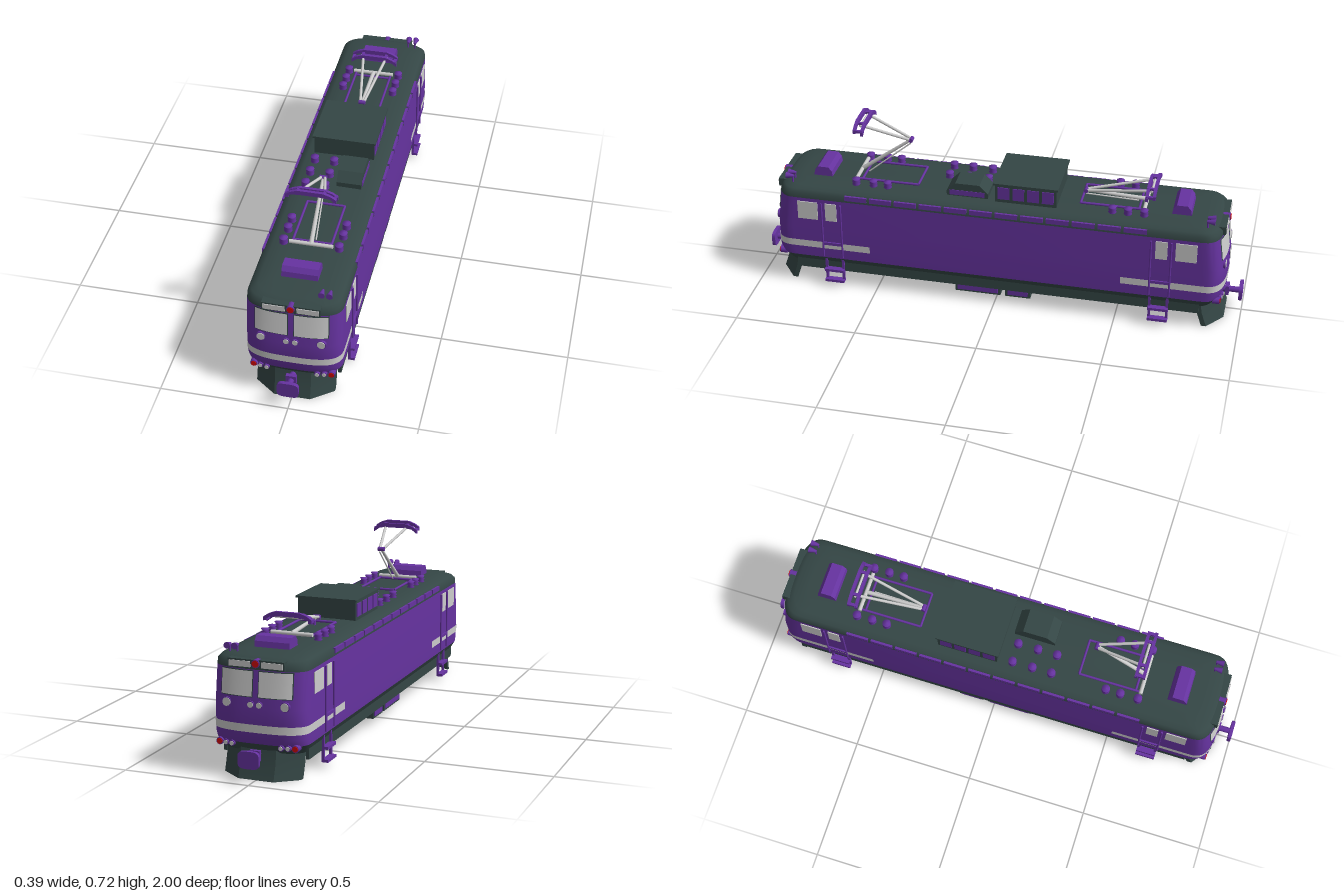
import * as THREE from 'three';
import { toCreasedNormals } from 'three/addons/utils/BufferGeometryUtils.js';

const mat = (name, color) => {
  const m = new THREE.MeshStandardMaterial({ color, side: THREE.DoubleSide });
  m.name = name;
  return m;
};

// Body levels: height, half width, half length
const LEVELS = [
  [0.1, 0.165, 0.9], [0.135, 0.183, 0.925], [0.16, 0.184, 0.935], [0.27, 0.185, 0.935],
  [0.41, 0.184, 0.917], [0.432, 0.182, 0.915], [0.445, 0.172, 0.902], [0.454, 0.15, 0.88], [0.459, 0.11, 0.83],
];
const NOSE = 0.09, POWER = 3;

function level(y) {
  let i = 0;
  while (i < LEVELS.length - 2 && y > LEVELS[i + 1][0]) i++;
  const a = LEVELS[i], b = LEVELS[i + 1], k = (y - a[0]) / (b[0] - a[0]);
  return { w: a[1] + (b[1] - a[1]) * k, l: a[2] + (b[2] - a[2]) * k };
}
function noseZ(x, y) {
  const { w, l } = level(y);
  return l - NOSE + NOSE * Math.pow(Math.max(0, 1 - Math.pow(Math.abs(x) / w, POWER)), 1 / POWER);
}
// Rounded end outline from the left side across the front to the right side
function endOutline(y, off = 0) {
  const { w, l } = level(y), pts = [];
  for (let i = 0; i <= 28; i++) {
    const t = Math.PI / 2 - (Math.PI * i) / 28, s = Math.sin(t), c = Math.max(0, Math.cos(t));
    pts.push(new THREE.Vector3(
      (w + off) * Math.sign(s) * Math.pow(Math.abs(s), 2 / POWER), y,
      l - NOSE + (NOSE + off) * Math.pow(c < 1e-9 ? 0 : c, 2 / POWER)));
  }
  return pts;
}
function fullOutline(y) {
  const half = endOutline(y);
  return [...half, ...half.map((p) => new THREE.Vector3(-p.x, y, -p.z))];
}
// Surface through rows of points, bottom to top
function loft(rows, closed, crease = 0.6) {
  const n = rows[0].length, idx = [];
  for (let i = 0; i < rows.length - 1; i++) {
    for (let j = 0; j < (closed ? n : n - 1); j++) {
      const a = i * n + j, b = i * n + ((j + 1) % n), c = a + n, d = b + n;
      idx.push(a, c, b, b, c, d);
    }
  }
  const g = new THREE.BufferGeometry().setFromPoints(rows.flat());
  g.setIndex(idx);
  return toCreasedNormals(g, crease);
}
// Thin panel following the curved end
function nosePatch(x0, x1, y0, y1, off) {
  const row = (y) => Array.from({ length: 9 }, (_, i) => {
    const x = x1 + ((x0 - x1) * i) / 8;
    return new THREE.Vector3(x, y, noseZ(x, y) + off);
  });
  return loft([row(y0), row(y1)], false);
}

export function createModel() {
  const purple = mat('purple paint', 0x6633a0), dark = mat('dark green grey', 0x344645);
  const pale = mat('pale grey', 0xcccccc), red = mat('red lamp', 0xd00808);
  const model = new THREE.Group();
  model.name = 'locomotive';

  const add = (parent, name, geo, m, x = 0, y = 0, z = 0) => {
    const mesh = new THREE.Mesh(geo, m);
    mesh.name = name;
    mesh.position.set(x, y, z);
    parent.add(mesh);
    return mesh;
  };
  // Box given by its limits
  const box = (parent, name, m, x0, x1, y0, y1, z0, z1) =>
    add(parent, name, new THREE.BoxGeometry(x1 - x0, y1 - y0, z1 - z0), m, (x0 + x1) / 2, (y0 + y1) / 2, (z0 + z1) / 2);
  const rod = (parent, name, m, a, b, r0, r1 = r0) => {
    const p = new THREE.Vector3(...a), q = new THREE.Vector3(...b), d = q.clone().sub(p);
    const mesh = add(parent, name, new THREE.CylinderGeometry(r1, r0, d.length(), 10), m);
    mesh.position.copy(p).add(q).multiplyScalar(0.5);
    mesh.quaternion.setFromUnitVectors(new THREE.Vector3(0, 1, 0), d.normalize());
    return mesh;
  };
  const lamp = (parent, name, m, x, y, r, z) => {
    rod(parent, name + 'Rim', purple, [x, y, z - 0.025], [x, y, z + 0.004], r + 0.003);
    rod(parent, name, m, [x, y, z - 0.02], [x, y, z + 0.007], r);
  };
  // Profile across x extruded along z
  const prism = (pts, depth) => {
    const g = new THREE.ExtrudeGeometry(new THREE.Shape(pts.map((p) => new THREE.Vector2(...p))), { depth, bevelEnabled: false });
    return g.translate(0, 0, -depth / 2);
  };

  // Body shell, chassis and roof
  const rings = (a, b) => LEVELS.slice(a, b).map((l) => fullOutline(l[0]));
  const centre = (y) => fullOutline(y).map(() => new THREE.Vector3(0, y, 0));
  add(model, 'chassis', loft([centre(0.1), ...rings(0, 2)], true), dark);
  add(model, 'body', loft(rings(1, 5), true), purple);
  add(model, 'roof', loft([...rings(4, 9), centre(0.461)], true, 0.9), dark);

  for (const s of [-1, 1]) {
    box(model, 'skirt', dark, s * 0.165 - 0.006, s * 0.165 + 0.006, 0.07, 0.13, -0.84, 0.84);
    // Row of vents along the roof edge
    for (let i = 0; i < 12; i++) {
      const z = -0.572 + i * 0.104;
      box(model, 'roofEdgeVent', purple, s * 0.18 - 0.006, s * 0.18 + 0.006, 0.419, 0.439, z - 0.046, z + 0.046);
    }
  }

  // Equipment boxes under the floor
  for (const [z0, z1] of [[-0.025, 0.165], [-0.15, -0.045]]) {
    box(model, 'equipmentBox', dark, -0.163, 0.163, 0.037, 0.115, z0, z1);
    for (const s of [-1, 1]) box(model, 'equipmentPanel', purple, s * 0.164 - 0.003, s * 0.164 + 0.003, 0.046, 0.106, z0 + 0.01, z1 - 0.01);
  }

  // Cab ends, the second turned about
  for (const turn of [0, Math.PI]) {
    const end = new THREE.Group();
    end.name = turn ? 'rearEnd' : 'frontEnd';
    end.rotation.y = turn;
    model.add(end);

    // Stripe wrapping the nose and running back along both sides
    const stripeRow = (y) => {
      const p = endOutline(y, 0.002), a = p[0].clone(), b = p[p.length - 1].clone();
      a.z = b.z = 0.52;
      return [a, ...p, b];
    };
    add(end, 'stripe', loft([stripeRow(0.18), stripeRow(0.21)], false), pale);

    // Destination panel and top lamp
    box(end, 'signBox', dark, -0.111, 0.111, 0.413, 0.447, 0.88, 0.921);
    for (const s of [-1, 1]) {
      box(end, 'signPanel', pale, s * 0.064 - 0.042, s * 0.064 + 0.042, 0.419, 0.441, 0.919, 0.924);
      const [x0, x1] = s > 0 ? [0.013, 0.139] : [-0.139, -0.013];
      add(end, 'windscreenFrame', nosePatch(x0 - 0.003, x1 + 0.003, 0.31, 0.408, 0.002), dark);
      add(end, 'windscreen', nosePatch(x0, x1, 0.313, 0.405, 0.004), pale);
      lamp(end, 'headlight', pale, s * 0.115, 0.284, 0.016, noseZ(0.115, 0.284));
      lamp(end, 'innerLight', pale, s * 0.017, 0.284, 0.011, noseZ(0.017, 0.284));
      lamp(end, 'tailLight', red, s * 0.15, 0.129, 0.011, 0.915);
      lamp(end, 'markerLight', pale, s * 0.123, 0.129, 0.008, 0.92);
      lamp(end, 'markerLight', pale, s * 0.097, 0.129, 0.008, 0.925);

      // Cab side windows, door rails and steps
      const side = (name, m, y0, y1, z0, z1, t = 0.003) => box(end, name, m, s * 0.185 - t, s * 0.185 + t, y0, y1, z0, z1);
      side('cabWindow', pale, 0.315, 0.395, 0.735, 0.82);
      side('doorWindow', pale, 0.315, 0.395, 0.655, 0.703);
      side('doorSill', purple, 0.2, 0.212, 0.64, 0.715, 0.006);
      for (const z of [0.637, 0.718]) rod(end, 'doorRail', purple, [s * 0.189, 0.145, z], [s * 0.189, 0.395, z], 0.004);
      for (const z of [0.641, 0.712]) box(end, 'stepSide', purple, s * 0.175 - 0.005, s * 0.175 + 0.005, 0.024, 0.135, z - 0.005, z + 0.005);
      for (const y of [0.03, 0.08]) box(end, 'step', purple, s * 0.183 - 0.013, s * 0.183 + 0.013, y - 0.006, y + 0.005, 0.636, 0.717);
    }
    lamp(end, 'topLight', red, 0, 0.434, 0.013, 0.923);

    // Plough, bent in plan and raked forwards
    const plan = [[0.153, 0.872], [0.07, 0.935], [-0.07, 0.935], [-0.153, 0.872]];
    const row = (y, dz) => [...plan.map(([x, z]) => new THREE.Vector3(x, y, z + dz)),
      ...plan.slice().reverse().map(([x, z]) => new THREE.Vector3(x, y, z + dz - 0.02))];
    const inner = (y, dz) => row(y, dz).map((p, i) => (i < 4 ? row(y, dz)[7 - i] : p));
    add(end, 'plough', loft([inner(0, 0), row(0, 0), row(0.06, -0.02), row(0.12, -0.03), inner(0.12, -0.03)], true, 0.2), dark);

    // Coupler
    rod(end, 'couplerStem', purple, [0, 0.094, 0.88], [0, 0.094, 0.99], 0.012);
    box(end, 'couplerCollar', purple, -0.02, 0.02, 0.075, 0.115, 0.93, 0.945);
    const face = new THREE.Shape();
    face.absellipse(0, 0, 0.032, 0.024, 0, Math.PI * 2);
    const pts = Array.from({ length: 32 }, (_, i) => {
      const t = (i / 32) * Math.PI * 2, f = (v) => Math.sign(v) * Math.pow(Math.abs(v), 0.5);
      return [0.042 * f(Math.cos(t)), 0.033 * f(Math.sin(t))];
    });
    add(end, 'couplerPlate', prism(pts, 0.014), purple, 0, 0.094, 0.993);

    // Roof hood above the cab
    add(end, 'roofHood', prism([[-0.04, 0], [0.04, 0], [0.036, 0.025], [0.022, 0.043], [-0.022, 0.043], [-0.036, 0.025]], 0.14)
      .rotateY(Math.PI / 2), purple, 0, 0.456, 0.74);
  }

  // Twin horns at both ends
  for (const s of [-1, 1]) {
    for (const x of [0.105, 0.135]) {
      rod(model, 'horn', purple, [x, 0.48, s * 0.845], [x, 0.48, s * 0.878], 0.005, 0.013);
      rod(model, 'hornPost', purple, [x, 0.445, s * 0.85], [x, 0.48, s * 0.85], 0.004);
    }
  }

  // Ventilation house on the roof
  box(model, 'roofHouse', dark, -0.123, 0.123, 0.45, 0.536, -0.245, 0.005);
  box(model, 'roofHouseLid', dark, -0.13, 0.13, 0.535, 0.543, -0.252, 0.012);
  for (const s of [-1, 1]) {
    for (let i = 0; i < 4; i++) {
      const z = -0.21 + i * 0.06;
      box(model, 'roofHouseVent', purple, s * 0.123 - 0.003, s * 0.123 + 0.003, 0.472, 0.525, z - 0.024, z + 0.024);
    }
  }
  // Smaller sloping housing
  add(model, 'roofHousing', prism([[-0.085, 0], [0.085, 0], [0.085, 0.025], [0.05, 0.06], [-0.05, 0.06], [-0.085, 0.025]], 0.1)
    .rotateY(Math.PI / 2), dark, 0.063, 0.455, 0.122);
  box(model, 'roofHousingPanel', purple, 0.111, 0.115, 0.463, 0.485, 0.05, 0.195);

  // Ribbed insulators
  const ribbed = new THREE.LatheGeometry([[0.012, 0], [0.017, 0.007], [0.011, 0.011], [0.017, 0.019], [0.011, 0.023], [0.017, 0.031], [0, 0.034]]
    .map((p) => new THREE.Vector2(...p)), 14);
  const spots = [];
  for (const z of [0.455, 0.515, 0.588, -0.595, -0.53, -0.468]) spots.push([-0.108, z], [0.108, z]);
  for (const z of [0.065, 0.148, 0.228]) spots.push([-0.108, z], [-0.028, z]);
  for (const [x, z] of spots) add(model, 'insulator', ribbed, purple, x, 0.454, z);

  // Pantographs: z values run outwards from the middle
  const pantograph = (name, s, elbowZ, elbowY, headZ, headY) => {
    const g = new THREE.Group();
    g.name = name;
    model.add(g);
    for (const x of [-0.075, 0.075]) rod(g, 'baseRail', purple, [x, 0.468, s * 0.335], [x, 0.468, s * 0.59], 0.005);
    for (const z of [0.335, 0.57]) rod(g, 'baseCrossRail', purple, [-0.075, 0.468, s * z], [0.075, 0.468, s * z], 0.005);
    rod(g, 'pivotBar', pale, [-0.085, 0.474, s * 0.592], [0.085, 0.474, s * 0.592], 0.008);
    rod(g, 'lowerArm', pale, [0, 0.474, s * 0.592], [0, elbowY, s * elbowZ], 0.009, 0.006);
    rod(g, 'linkRod', pale, [0.012, 0.47, s * 0.56], [0.008, elbowY - 0.012, s * elbowZ], 0.003);
    rod(g, 'elbow', purple, [-0.014, elbowY, s * elbowZ], [0.014, elbowY, s * elbowZ], 0.009);
    for (const x of [-1, 1]) rod(g, 'upperArm', pale, [x * 0.007, elbowY, s * elbowZ], [x * 0.05, headY - 0.012, s * headZ], 0.006);
    rod(g, 'headBar', pale, [-0.06, headY - 0.012, s * headZ], [0.06, headY - 0.012, s * headZ], 0.005);
    // Collector bows with drooping tips
    const bow = [[-0.098, -0.033], [-0.075, -0.016], [-0.05, -0.012], [0.05, -0.012], [0.075, -0.016], [0.098, -0.033],
      [0.098, -0.017], [0.078, -0.004], [0.05, 0.006], [-0.05, 0.006], [-0.078, -0.004], [-0.098, -0.017]];
    for (const dz of [-0.015, 0.015]) add(g, 'collectorBow', prism(bow, 0.012), purple, 0, headY + dz * 0.3, s * (headZ + dz));
    for (const x of [-0.09, -0.05, 0.05, 0.09]) {
      const y = headY - (Math.abs(x) > 0.06 ? 0.02 : 0.004);
      box(g, 'bowTie', purple, x - 0.006, x + 0.006, y - 0.006, y + 0.004, s * headZ - 0.02, s * headZ + 0.02);
    }
  };
  pantograph('raisedPantograph', 1, 0.38, 0.632, 0.575, 0.713);
  pantograph('foldedPantograph', -1, 0.345, 0.486, 0.615, 0.553);

  return model;
}
